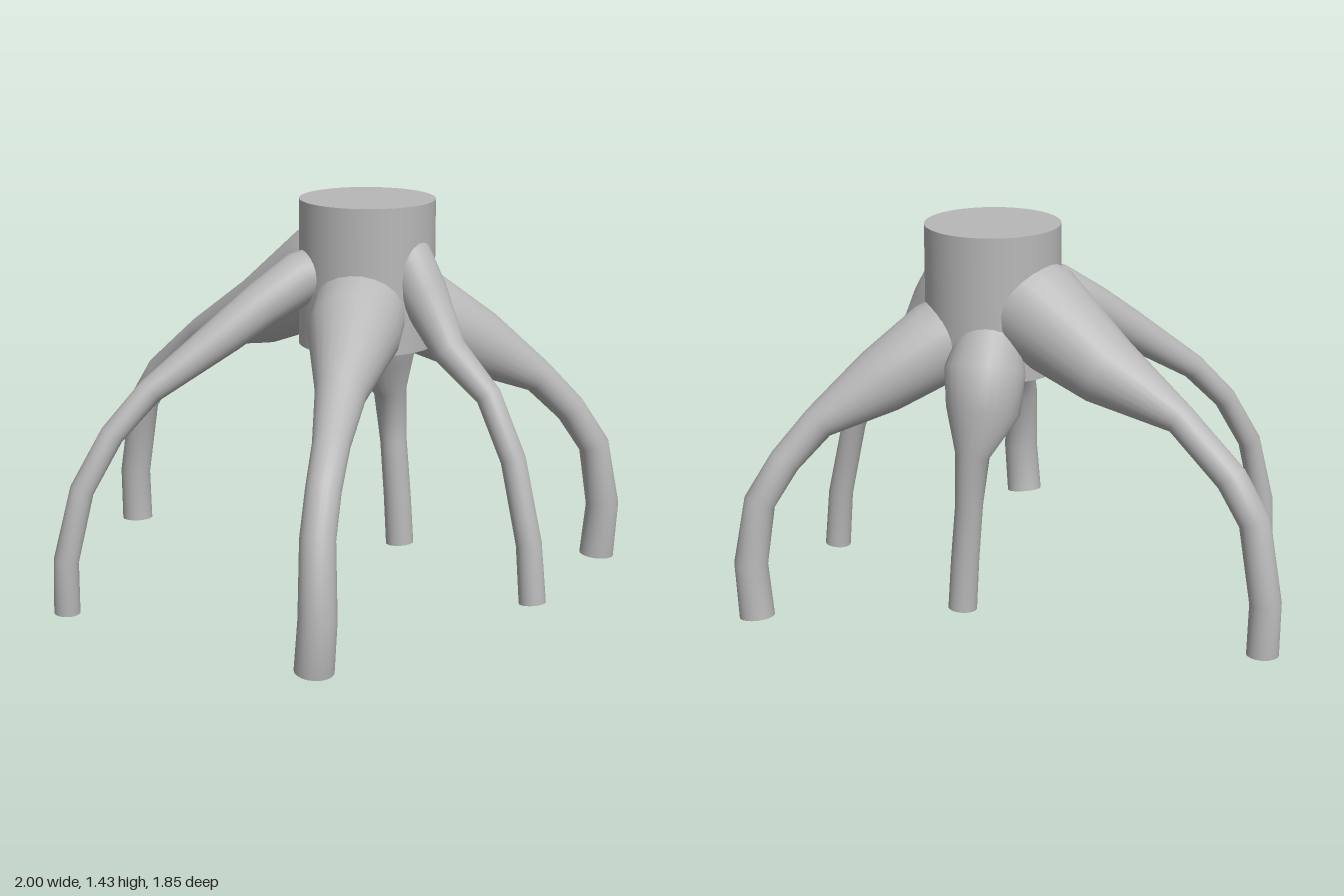
import * as THREE from 'three';

const SIDES = 24;

// Tapered tube through [x, y, z, radius] stations, with flat capped ends
function rootGeometry(stations) {
  const centres = stations.map(s => new THREE.Vector3(s[0], s[1], s[2]));
  const n = centres.length;
  const pos = [], idx = [];
  const side = new THREE.Vector3(), up = new THREE.Vector3();
  const tangentAt = i => {
    const a = new THREE.Vector3(), b = new THREE.Vector3();
    if (i > 0) a.subVectors(centres[i], centres[i - 1]).normalize();
    if (i < n - 1) b.subVectors(centres[i + 1], centres[i]).normalize();
    return a.add(b).normalize();
  };
  const ring = i => {
    const t = tangentAt(i);
    // carry the previous frame along so the tube does not twist
    if (i === 0) side.set(0.6, 0, 0.8);
    side.addScaledVector(t, -side.dot(t)).normalize();
    up.crossVectors(t, side);
    const out = [];
    for (let j = 0; j < SIDES; j++) {
      const a = (j / SIDES) * Math.PI * 2;
      out.push(centres[i].clone()
        .addScaledVector(side, Math.cos(a) * stations[i][3])
        .addScaledVector(up, Math.sin(a) * stations[i][3]));
    }
    return out;
  };
  const rings = centres.map((_, i) => ring(i));
  rings.forEach(r => r.forEach(p => pos.push(p.x, p.y, p.z)));
  for (let i = 0; i < n - 1; i++) {
    for (let j = 0; j < SIDES; j++) {
      const k = (j + 1) % SIDES;
      const a = i * SIDES + j, b = i * SIDES + k;
      idx.push(a, b, b + SIDES, a, b + SIDES, a + SIDES);
    }
  }
  // caps use their own vertices so their rims stay sharp
  [[0, true], [n - 1, false]].forEach(([i, flip]) => {
    const start = pos.length / 3;
    rings[i].forEach(p => pos.push(p.x, p.y, p.z));
    pos.push(centres[i].x, centres[i].y, centres[i].z);
    for (let j = 0; j < SIDES; j++) {
      const a = start + j, b = start + ((j + 1) % SIDES);
      idx.push(start + SIDES, flip ? b : a, flip ? a : b);
    }
  });
  const g = new THREE.BufferGeometry();
  g.setAttribute('position', new THREE.Float32BufferAttribute(pos, 3));
  g.setIndex(idx);
  g.computeVertexNormals();
  return g;
}

// Each root runs from its foot up into the trunk
const ROOTS = {
  leftwardRoot: [
    [-0.938, 0.027, -0.145, 0.058], [-0.945, 0.22, -0.145, 0.057], [-0.895, 0.51, -0.145, 0.057],
    [-0.80, 0.65, -0.145, 0.057], [-0.59, 0.83, -0.145, 0.057], [-0.29, 0.955, -0.145, 0.13],
    [0.0, 1.125, -0.145, 0.187], [0.12, 1.17, -0.145, 0.18],
  ],
  slenderFrontRoot: [
    [-0.37, 0.004, 0.85, 0.047], [-0.36, 0.2, 0.86, 0.045], [-0.335, 0.45, 0.80, 0.043],
    [-0.28, 0.64, 0.70, 0.043], [-0.215, 0.785, 0.57, 0.047], [-0.065, 0.975, 0.33, 0.073],
    [0.0, 1.07, 0.2, 0.083], [0.07, 1.155, 0.07, 0.095], [0.15, 1.2, -0.06, 0.09],
  ],
  thickFrontRoot: [
    [0.752, 0.033, 0.845, 0.068], [0.778, 0.22, 0.86, 0.066], [0.738, 0.475, 0.81, 0.061],
    [0.69, 0.615, 0.72, 0.061], [0.62, 0.73, 0.59, 0.065], [0.48, 0.845, 0.36, 0.09],
    [0.35, 0.995, 0.12, 0.166], [0.25, 1.06, -0.05, 0.17],
  ],
  rightwardRoot: [
    [0.95, 0.058, -0.145, 0.048], [0.93, 0.27, -0.145, 0.046], [0.857, 0.565, -0.145, 0.045],
    [0.747, 0.78, -0.145, 0.046], [0.575, 0.92, -0.145, 0.062], [0.455, 1.11, -0.145, 0.09],
    [0.37, 1.25, -0.145, 0.094], [0.29, 1.3, -0.145, 0.08],
  ],
  thickBackRoot: [
    [0.76, 0.035, -0.86, 0.064], [0.78, 0.235, -0.86, 0.061], [0.755, 0.465, -0.83, 0.057],
    [0.695, 0.61, -0.755, 0.057], [0.62, 0.74, -0.65, 0.063], [0.47, 0.875, -0.48, 0.122],
    [0.34, 1.0, -0.31, 0.152], [0.22, 1.08, -0.16, 0.15],
  ],
  shortBackRoot: [
    [0.147, 0.06, -0.435, 0.052], [0.137, 0.25, -0.43, 0.051], [0.117, 0.46, -0.43, 0.05],
    [0.10, 0.65, -0.43, 0.062], [0.095, 0.80, -0.37, 0.133], [0.105, 0.94, -0.34, 0.146],
    [0.14, 1.07, -0.25, 0.11],
  ],
};

export function createModel() {
  const group = new THREE.Group();
  group.name = 'stiltRoots';
  const bark = new THREE.MeshStandardMaterial({ color: 0xb8b8b8 });
  bark.name = 'greyBark';

  // Cut trunk
  const top = 1.43, bottom = 0.9;
  const trunk = new THREE.Mesh(new THREE.CylinderGeometry(0.246, 0.246, top - bottom, 48), bark);
  trunk.name = 'trunk';
  trunk.position.set(0.204, (top + bottom) / 2, -0.145);
  group.add(trunk);

  // Arching roots
  for (const [name, stations] of Object.entries(ROOTS)) {
    const root = new THREE.Mesh(rootGeometry(stations), bark);
    root.name = name;
    group.add(root);
  }
  return group;
}
